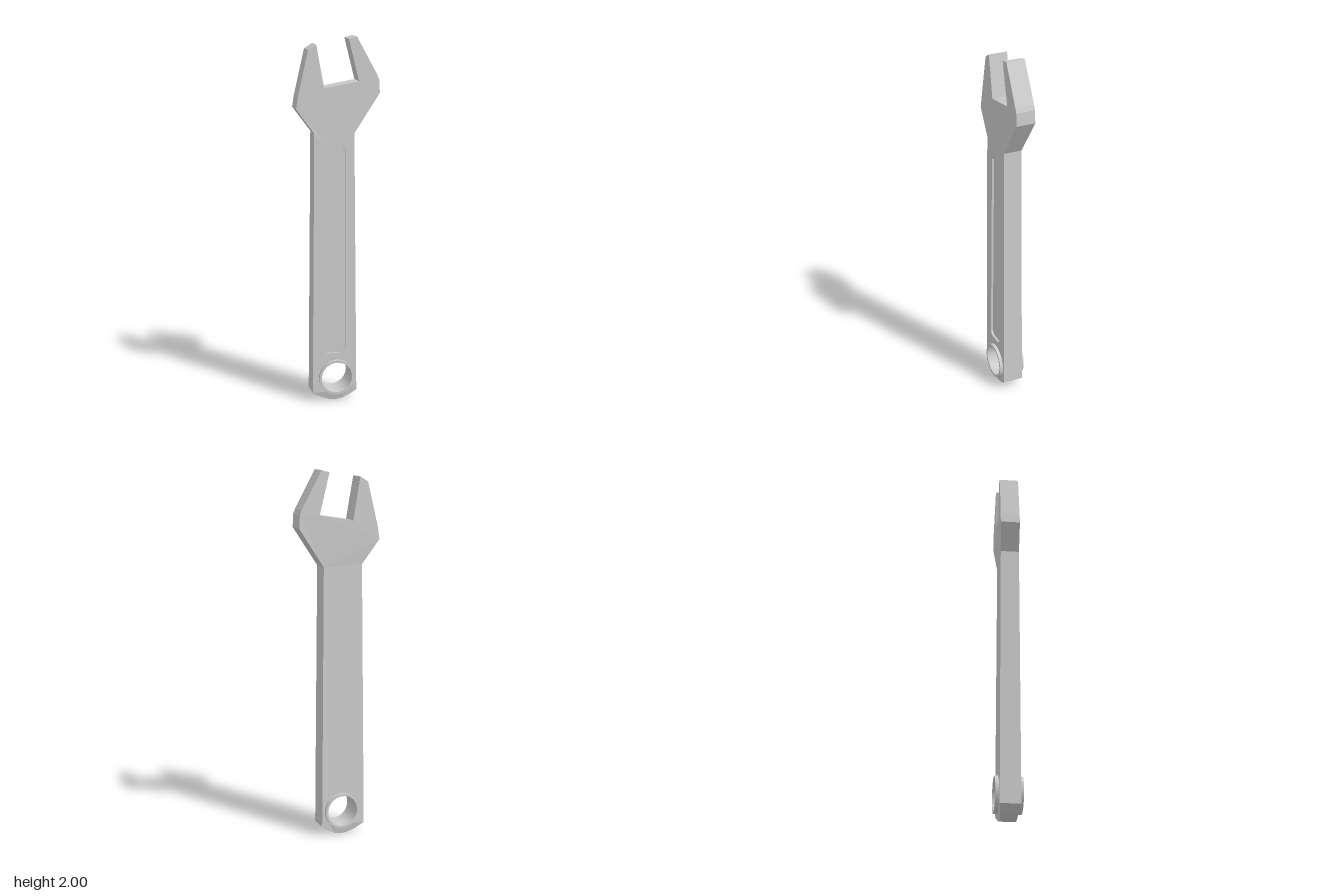
import * as THREE from 'three';
import { mergeGeometries } from 'three/addons/utils/BufferGeometryUtils.js';

const toPoints = list => list.map(([x, y]) => new THREE.Vector2(x, y));

// Piecewise linear height: stops are [y, z] pairs
function along(stops, y) {
  for (let i = 1; i < stops.length; i++) {
    const [y0, z0] = stops[i - 1], [y1, z1] = stops[i];
    if (y <= y1) return THREE.MathUtils.mapLinear(Math.max(y, y0), y0, y1, z0, z1);
  }
  return stops[stops.length - 1][1];
}

// Side profile: thins at the foot, tapers upward, steps back at the head
const RECESS = 0.012;
const frontZ = y => along([[0, 0.043], [0.055, 0.056], [1.49, 0.05], [1.7, 0.043]], y);
const backZ = y => along([[0, -0.043], [0.055, -0.055], [1.49, -0.05], [1.65, -0.061], [2, -0.058]], y);
const floorZ = y => frontZ(y) - RECESS;

// Flat face laid on a height rule, optionally turned to face the back
function cap(points, holes, height, flip = false) {
  const shape = new THREE.Shape(points);
  shape.holes = holes.map(h => new THREE.Path(h));
  const geometry = new THREE.ShapeGeometry(shape);
  if (flip) geometry.index.array.reverse();
  const pos = geometry.attributes.position;
  for (let i = 0; i < pos.count; i++) pos.setZ(i, height(pos.getY(i)));
  const flat = geometry.toNonIndexed();
  flat.deleteAttribute('uv');
  flat.computeVertexNormals();
  return flat;
}

// Band of quads around a loop, facing outward for a counter-clockwise loop
function wall(points, low, high) {
  const verts = [];
  points.forEach((a, i) => {
    const b = points[(i + 1) % points.length];
    const a0 = [a.x, a.y, low(a.y)], a1 = [a.x, a.y, high(a.y)];
    const b0 = [b.x, b.y, low(b.y)], b1 = [b.x, b.y, high(b.y)];
    verts.push(...a0, ...b0, ...b1, ...a0, ...b1, ...a1);
  });
  const geometry = new THREE.BufferGeometry();
  geometry.setAttribute('position', new THREE.Float32BufferAttribute(verts, 3));
  geometry.computeVertexNormals();
  return geometry;
}

export function createModel() {
  const group = new THREE.Group();
  const material = new THREE.MeshStandardMaterial({ color: 0xcccccc, flatShading: true });
  const eye = new THREE.Vector2(-0.014, 0.138);

  // Outline: rounded foot, right side, jaws, left side
  const outline = toPoints([
    [-0.147, 0.052], [-0.098, 0.023], [-0.055, 0.006], [-0.018, 0], [0.024, 0.008],
    [0.066, 0.031], [0.1, 0.054],
    [0.086, 1.49], [0.226, 1.7], [0.222, 1.77], [0.212, 1.795],
    [0.1, 2], [0.056, 1.988], [0.112, 1.765], [-0.077, 1.733], [-0.118, 1.962], [-0.162, 1.935],
    [-0.218, 1.69], [-0.228, 1.627], [-0.132, 1.497],
  ]);

  // Long shallow panel in the front of the handle
  const recess = toPoints([
    [-0.087, 0.294], [-0.074, 0.275], [0.013, 0.275], [0.037, 0.299],
    [0.037, 1.4], [0.02, 1.423], [-0.05, 1.415], [-0.069, 1.394],
  ]);

  // Eye opening, covered by the collar
  const opening = Array.from({ length: 32 }, (_, i) => {
    const t = i / 32 * Math.PI * 2;
    return new THREE.Vector2(eye.x + 0.09 * Math.cos(t), eye.y + 0.09 * Math.sin(t));
  });

  const body = new THREE.Mesh(mergeGeometries([
    cap(outline, [recess, opening], frontZ),
    cap(outline, [opening], backZ, true),
    cap(recess, [], floorZ),
    wall(outline, backZ, frontZ),
    wall([...recess].reverse(), floorZ, frontZ),
  ]), material);
  body.name = 'wrenchBody';
  group.add(body);

  // Collar lining the eye and standing proud on both faces
  const inner = 0.085, outer = 0.098, half = 0.073;
  const profile = toPoints([[inner, -half], [outer, -half], [outer, half], [inner, half], [inner, -half]]);
  const collar = new THREE.Mesh(new THREE.LatheGeometry(profile, 48), material);
  collar.rotation.x = Math.PI / 2;
  collar.position.set(eye.x, eye.y, 0);
  collar.name = 'eyeCollar';
  group.add(collar);

  return group;
}
